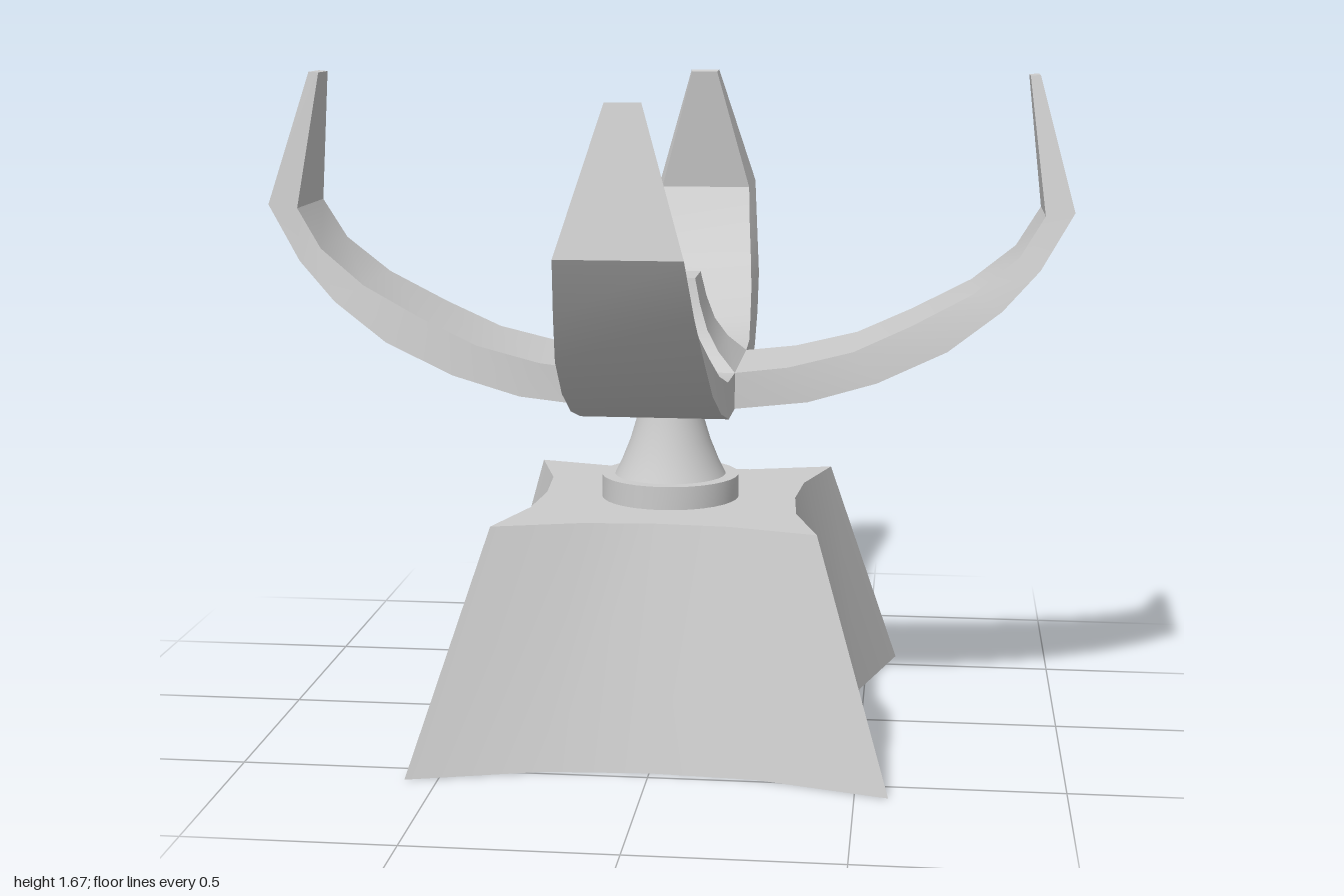
import * as THREE from 'three';
import { toCreasedNormals } from 'three/addons/utils/BufferGeometryUtils.js';

const material = new THREE.MeshStandardMaterial({ color: 0xcccccc });

// Skin a list of closed rings (counter-clockwise seen from the last one) and cap both ends
function loft(rings) {
  const n = rings[0].length;
  const pos = rings.flat(2);
  const index = [];
  rings.slice(1).forEach((_, i) => {
    for (let j = 0; j < n; j++) {
      const k = (j + 1) % n;
      const a = i * n + j, b = i * n + k, c = b + n, d = a + n;
      index.push(a, b, c, a, c, d);
    }
  });
  [0, rings.length - 1].forEach((r) => {
    const mid = [0, 1, 2].map((q) => rings[r].reduce((s, p) => s + p[q], 0) / n);
    const m = pos.length / 3;
    pos.push(...mid);
    for (let j = 0; j < n; j++) {
      const a = r * n + j, b = r * n + (j + 1) % n;
      index.push(...(r === 0 ? [m, b, a] : [m, a, b]));
    }
  });
  const geo = new THREE.BufferGeometry();
  geo.setAttribute('position', new THREE.Float32BufferAttribute(pos, 3));
  geo.setIndex(index);
  return toCreasedNormals(geo, 0.55);
}

function addMesh(group, geo, name) {
  const mesh = new THREE.Mesh(geo, material);
  mesh.name = name;
  group.add(mesh);
  return mesh;
}

// Four-sided ring at height y; side lists [along, outward] points for one side
function squareRing(side, y) {
  const ring = [];
  for (let s = 0; s < 4; s++) {
    const c = Math.round(Math.cos(s * Math.PI / 2)), k = Math.round(Math.sin(s * Math.PI / 2));
    side.forEach(([t, o]) => ring.push([o * c - t * k, y, -(o * k + t * c)]));
  }
  return ring;
}

// Arm along +x: each row is outer x, outer y, inner x, inner y, outer and inner half width
function armGeometry(rows) {
  return loft(rows.map(([ox, oy, ix, iy, ow, iw]) => [
    [ox, oy, ow], [ox, oy, -ow], [ix, iy, -iw], [ix, iy, iw],
  ]));
}

export function createModel() {
  const model = new THREE.Group();
  model.name = 'clawStand';

  // Pedestal with inward-curving sides
  const bottom = [[-0.58, 0.58], [-0.26, 0.488], [0, 0.47], [0.26, 0.488]];
  const top = [[-0.397, 0.397], [-0.18, 0.335], [0, 0.322], [0.18, 0.335]];
  addMesh(model, loft([squareRing(bottom, 0), squareRing(top, 0.587)]), 'pedestal');

  // Round collar and flared stem
  const collar = new THREE.CylinderGeometry(0.176, 0.176, 0.06, 32);
  addMesh(model, toCreasedNormals(collar, 0.55), 'collar').position.y = 0.616;
  const profile = [[0.145, 0.64], [0.125, 0.68], [0.103, 0.735], [0.085, 0.795], [0.07, 0.86]];
  const stem = new THREE.LatheGeometry(profile.map(([r, y]) => new THREE.Vector2(r, y)), 32);
  addMesh(model, stem, 'stem');

  // Square hub rising to a concave crown
  const hub = [[0.18, 0.85], [0.18, 0.94], [0.135, 0.985], [0.104, 1.035], [0.084, 1.095], [0.07, 1.16]];
  addMesh(model, loft(hub.map(([h, y]) => squareRing([[-h, h]], y))), 'hub');

  // Curved claw arms, the side pair slightly higher than the front and back pair
  const sideArm = armGeometry([
    [0.18, 0.85, 0.18, 0.94, 0.18, 0.18],
    [0.36, 0.87, 0.31, 0.955, 0.18, 0.176],
    [0.53, 0.92, 0.47, 0.995, 0.178, 0.168],
    [0.70, 1.0, 0.61, 1.06, 0.172, 0.16],
    [0.83, 1.1, 0.76, 1.14, 0.165, 0.147],
    [0.92, 1.2, 0.87, 1.23, 0.153, 0.135],
    [1.0, 1.34, 0.93, 1.33, 0.14, 0.127],
    [0.912, 1.667, 0.888, 1.665, 0.05, 0.046],
  ]);
  const frontArm = armGeometry([
    [0.18, 0.85, 0.18, 0.94, 0.18, 0.18],
    [0.35, 0.856, 0.33, 0.942, 0.18, 0.176],
    [0.52, 0.9, 0.47, 0.98, 0.177, 0.168],
    [0.68, 0.97, 0.62, 1.045, 0.172, 0.159],
    [0.81, 1.065, 0.75, 1.115, 0.166, 0.147],
    [0.91, 1.18, 0.855, 1.205, 0.153, 0.135],
    [1.0, 1.315, 0.93, 1.3, 0.14, 0.127],
    [0.912, 1.64, 0.888, 1.635, 0.04, 0.036],
  ]);
  [['leftArm', sideArm], ['backArm', frontArm], ['rightArm', sideArm], ['frontArm', frontArm]]
    .forEach(([name, geo], i) => {
      addMesh(model, geo, name).rotation.y = i * Math.PI / 2;
    });

  return model;
}
